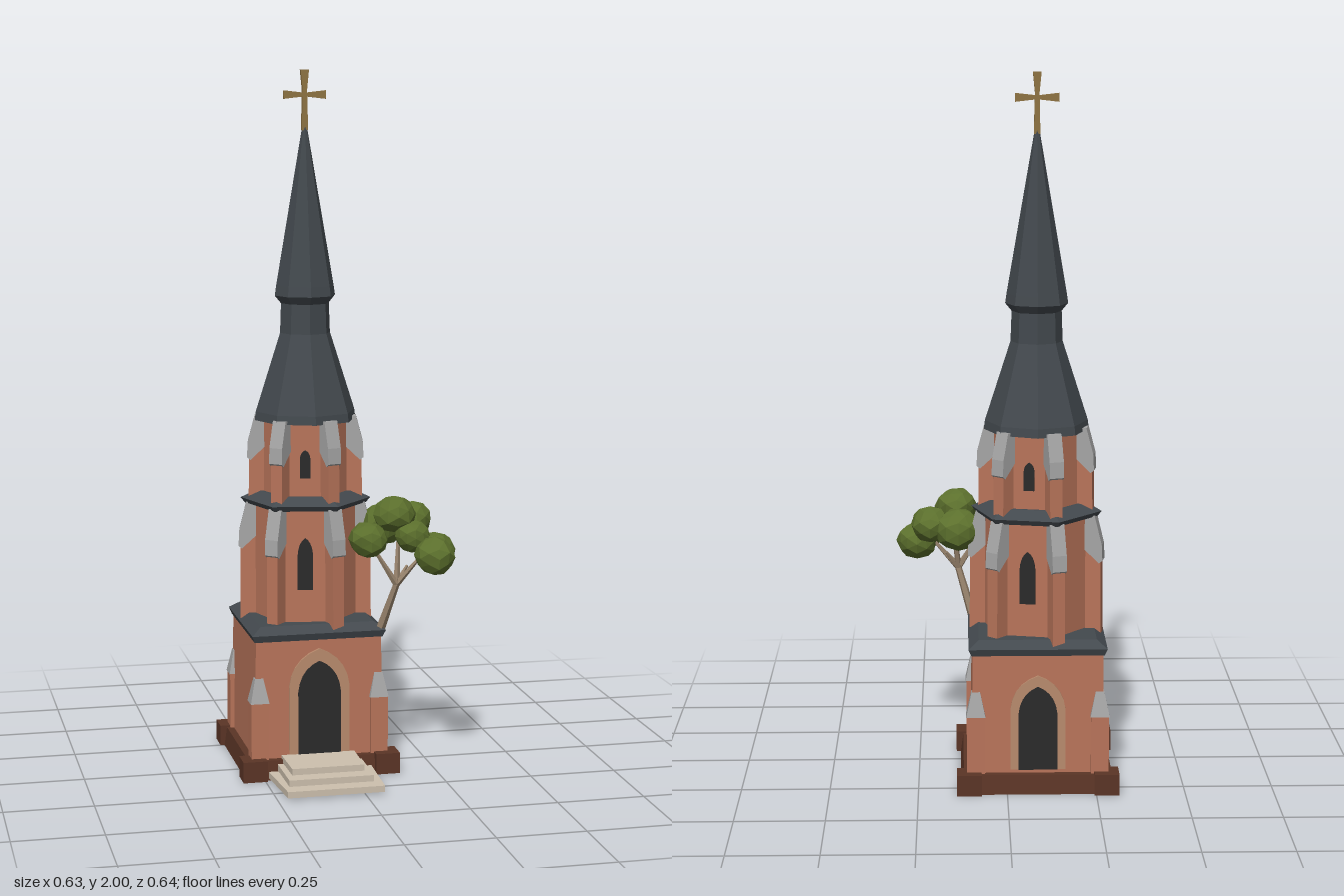
import * as THREE from 'three';

const mat = (name, color) => {
  const m = new THREE.MeshStandardMaterial({ color });
  m.name = name;
  return m;
};
const rad = THREE.MathUtils.degToRad;

export function createModel() {
  const M = {
    brick: mat('brick', 0xb8745a), slate: mat('slate', 0x43494e), stone: mat('stone', 0xa6a6a6),
    trim: mat('arch trim', 0xb98b6d), dark: mat('dark opening', 0x2b2b2b), plinth: mat('plinth brown', 0x5b3526),
    step: mat('pale step', 0xcdc0ae), gold: mat('old gold', 0x8f7443), bark: mat('bark', 0x94806a),
    leaf: mat('leaf green', 0x5c702d),
  };
  const model = new THREE.Group();
  const tower = new THREE.Group();
  tower.name = 'tower';
  tower.position.set(-0.086, 0, -0.09);
  model.add(tower);

  // Adds a faceted mesh
  const add = (parent, name, geo, material, x = 0, y = 0, z = 0) => {
    const g = geo.index ? geo.toNonIndexed() : geo;
    g.computeVertexNormals();
    const mesh = new THREE.Mesh(g, material);
    mesh.name = name;
    mesh.position.set(x, y, z);
    parent.add(mesh);
    return mesh;
  };
  // Prism or frustum from y0 to y1
  const frustum = (sides, r0, r1, y0, y1, start) =>
    new THREE.CylinderGeometry(r1, r0, y1 - y0, sides, 1, false, start).translate(0, (y0 + y1) / 2, 0);
  const square = (h0, h1, y0, y1) => frustum(4, h0 * Math.SQRT2, h1 * Math.SQRT2, y0, y1, Math.PI / 4);
  const hexagon = (r0, r1, y0, y1) => frustum(6, r0, r1, y0, y1, rad(18));
  const block = (x0, x1, y0, y1, z0, z1) => new THREE.BoxGeometry(x1 - x0, y1 - y0, z1 - z0)
    .translate((x0 + x1) / 2, (y0 + y1) / 2, (z0 + z1) / 2);
  // Outline of points extruded and centred in depth
  const slab = (pts, depth) => new THREE.ExtrudeGeometry(
    new THREE.Shape(pts.map(p => new THREE.Vector2(...p))), { depth, bevelEnabled: false }).translate(0, 0, -depth / 2);
  // Pointed arch plate standing on y = 0
  const arch = (w, spring, top, depth) => {
    const s = new THREE.Shape();
    s.moveTo(-w, 0);
    s.lineTo(w, 0);
    s.lineTo(w, spring);
    s.quadraticCurveTo(w * 0.9, spring + (top - spring) * 0.75, 0, top);
    s.quadraticCurveTo(-w * 0.9, spring + (top - spring) * 0.75, -w, spring);
    return new THREE.ExtrudeGeometry(s, { depth, bevelEnabled: false, curveSegments: 5 });
  };

  // Plinth with corner pads
  add(tower, 'plinth', square(0.216, 0.208, 0, 0.055), M.plinth);
  for (const sx of [-1, 1]) for (const sz of [-1, 1]) {
    add(tower, 'plinthPad', new THREE.BoxGeometry(0.07, 0.06, 0.07), M.plinth, sx * 0.193, 0.03, sz * 0.194);
    // Corner buttress of the lower storey with its sloping cap
    add(tower, 'cornerButtress', new THREE.BoxGeometry(0.05, 0.17, 0.05), M.brick, sx * 0.174, 0.135, sz * 0.174);
    add(tower, 'cornerCap', square(0.027, 0.012, 0.22, 0.29), M.stone, sx * 0.174, 0, sz * 0.174);
  }

  // Lower storey and its ledge
  add(tower, 'lowerStorey', square(0.188, 0.182, 0.05, 0.405), M.brick);
  add(tower, 'lowerLedge', square(0.186, 0.194, 0.395, 0.415), M.slate);
  add(tower, 'lowerLedgeRoof', square(0.194, 0.165, 0.415, 0.436), M.slate);

  // Arched doors, front and back
  for (const [angle, scale, y] of [[0, 1, 0.06], [180, 0.88, 0.065]]) {
    const door = new THREE.Group();
    door.name = angle ? 'backDoor' : 'frontDoor';
    door.rotation.y = rad(angle);
    door.add(new THREE.Group());
    add(door, 'doorTrim', arch(0.088 * scale, 0.2 * scale, 0.31 * scale, 0.009), M.trim, 0, y, 0.182);
    add(door, 'doorOpening', arch(0.062 * scale, 0.185 * scale, 0.275 * scale, 0.009), M.dark, 0, y, 0.185);
    tower.add(door);
  }

  // Two hexagonal storeys with buttresses on the corners and narrow windows
  const storeys = [
    { name: 'middle', y0: 0.42, y1: 0.775, r: 0.155, out: 0.19, capY: 0.635, capTop: 0.765, win: [0.022, 0.53, 0.1, 0.15] },
    { name: 'upper', y0: 0.775, y1: 1.012, r: 0.13, out: 0.164, capY: 0.895, capTop: 1.015, win: [0.015, 0.85, 0.055, 0.08] },
  ];
  for (const s of storeys) {
    add(tower, s.name + 'Storey', hexagon(s.r, s.r, s.y0, s.y1), M.brick);
    for (let i = 0; i < 6; i++) {
      const spin = new THREE.Group();
      spin.name = s.name + 'Buttress';
      spin.rotation.y = -rad(12 + 60 * i);
      const inner = s.r - 0.03;
      add(spin, 'buttressBrick', slab([[inner, s.y0], [s.out, s.y0], [s.out - 0.002, s.capY],
        [s.r + 0.008, s.capTop - 0.02], [inner, s.capTop - 0.02]], 0.036), M.brick);
      add(spin, 'buttressCap', slab([[s.r - 0.012, s.capY + 0.03], [s.out - 0.006, s.capY - 0.008], [s.out + 0.004, s.capY],
        [s.out + 0.002, s.capY + 0.045], [s.r + 0.016, s.capTop], [s.r - 0.012, s.capTop]], 0.042), M.stone);
      tower.add(spin);
    }
    for (const angle of [-12, 168]) {
      const [w, y, spring, top] = s.win;
      const spin = new THREE.Group();
      spin.name = s.name + 'Window';
      spin.rotation.y = rad(angle);
      add(spin, 'windowOpening', arch(w, spring, top, 0.008), M.dark, 0, y, s.r * Math.cos(Math.PI / 6) - 0.004);
      tower.add(spin);
    }
  }
  add(tower, 'middleLedge', hexagon(0.176, 0.188, 0.76, 0.775), M.slate);
  add(tower, 'middleLedgeRoof', hexagon(0.188, 0.14, 0.775, 0.797), M.slate);

  // Eight-sided spire with a waist
  const profile = [[0, 1.005], [0.148, 1.005], [0.145, 1.03], [0.073, 1.255], [0.07, 1.34], [0.088, 1.362], [0.084, 1.39], [0.007, 1.84], [0, 1.85]];
  add(tower, 'spire', new THREE.LatheGeometry(profile.map(p => new THREE.Vector2(...p)), 8), M.slate);

  // Cross with flared ends
  const arm = (len, w0, w1) => slab([[-w0, 0], [w0, 0], [w1, len], [-w1, len]], 0.014);
  add(tower, 'crossPost', arm(0.17, 0.009, 0.005), M.gold, 0, 1.83, 0);
  for (const [angle, len] of [[0, 0.07], [90, 0.061], [-90, 0.061]]) {
    add(tower, 'crossArm', arm(len, 0.005, 0.012), M.gold, 0, 1.93, 0).rotation.z = rad(angle);
  }

  // Front steps, each a slightly tapering slab
  const steps = [[-0.24, 0.062, -0.222, 0.054, 0.32], [-0.212, 0.034, -0.21, 0.032, 0.28], [-0.197, 0.016, -0.194, 0.013, 0.24]];
  steps.forEach(([a, b, c, d, z], i) => {
    const g = slab([[a, -0.1], [c, -z], [d, -z], [b, -0.1]], 0.018).rotateX(-Math.PI / 2);
    add(model, 'frontStep', g, M.step, 0, 0.015 + i * 0.02, 0);
  });

  // Small tree rooted on the lower ledge
  const limb = (a, b, r0, r1) => {
    const p = new THREE.Vector3(...a), d = new THREE.Vector3(...b).sub(p);
    const g = new THREE.CylinderGeometry(r1, r0, d.length(), 5).translate(0, d.length() / 2, 0);
    add(model, 'treeLimb', g, M.bark, ...a).quaternion.setFromUnitVectors(new THREE.Vector3(0, 1, 0), d.normalize());
  };
  const fork = [0.135, 0.55, 0.115];
  limb([0.095, 0.415, 0.085], fork, 0.014, 0.01);
  for (const tip of [[0.15, 0.71, 0.08], [0.215, 0.64, 0.12], [0.06, 0.67, 0.115], [0.17, 0.6, 0.1]]) limb(fork, tip, 0.01, 0.004);
  const crowns = [
    [0.135, 0.7, -0.035, 0.066], [0.215, 0.71, -0.015, 0.056], [0.14, 0.745, 0.07, 0.06],
    [0.255, 0.64, 0.09, 0.058], [0.05, 0.685, 0.122, 0.056], [0.225, 0.645, 0.2, 0.058], [0.185, 0.685, 0.1, 0.05],
  ];
  crowns.forEach(([x, y, z, r], k) => {
    const g = new THREE.IcosahedronGeometry(r, 1), p = g.attributes.position;
    for (let i = 0; i < p.count; i++) {
      const h = Math.sin(p.getX(i) * 310 + p.getY(i) * 470 + p.getZ(i) * 230 + k);
      const f = 1 + 0.06 * h;
      p.setXYZ(i, p.getX(i) * f, p.getY(i) * f * 0.93, p.getZ(i) * f);
    }
    add(model, 'treeCrown', g, M.leaf, x, y, z);
  });
  return model;
}
